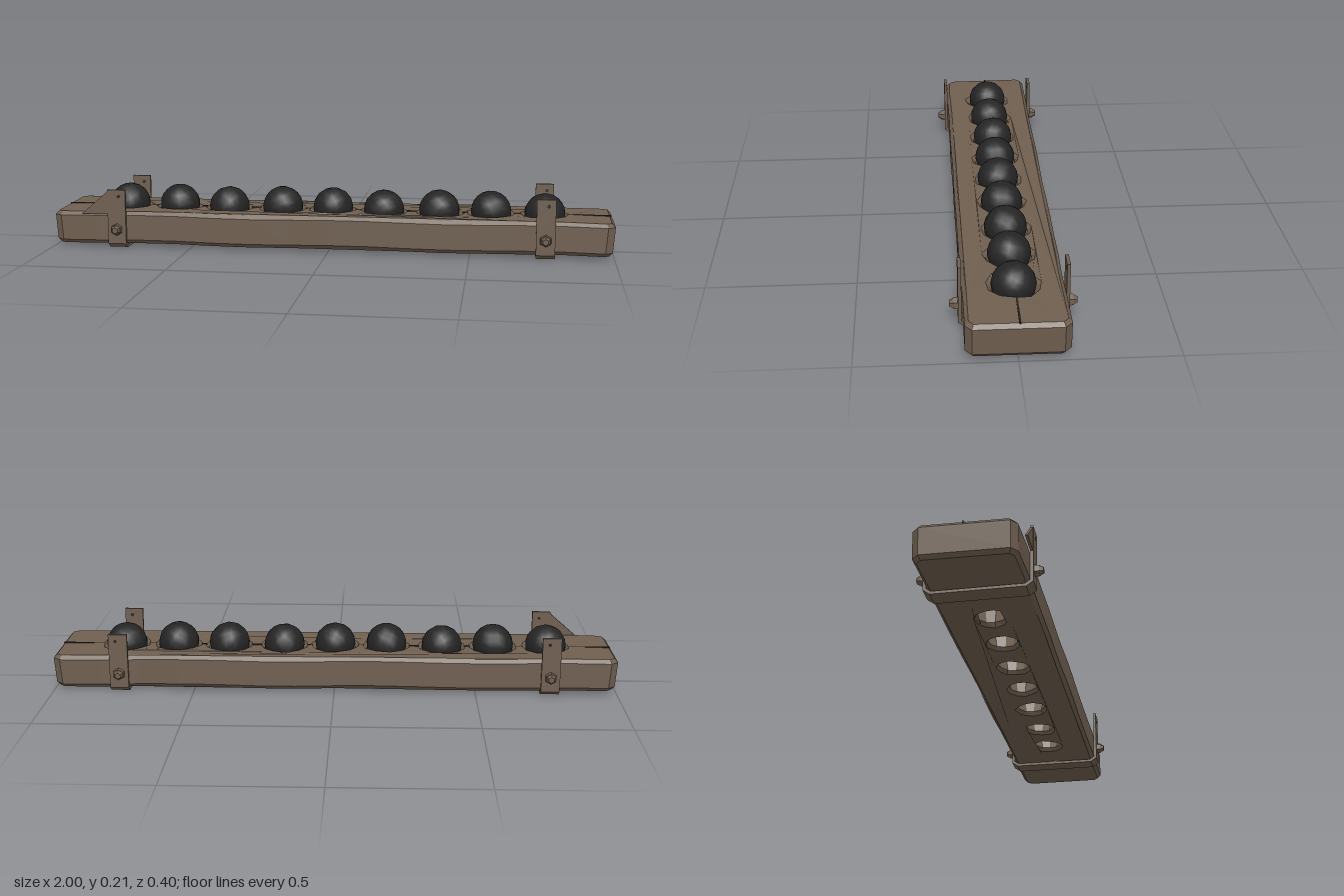
import * as THREE from 'three';

const brown = new THREE.MeshStandardMaterial({ name: 'weatheredBrown', color: 0x6f5f50, flatShading: true });
const black = new THREE.MeshStandardMaterial({ name: 'ironBlack', color: 0x242424 });
const dark = new THREE.MeshStandardMaterial({ name: 'crackDark', color: 0x2c2620 });

const BALLS = [-0.76, -0.57, -0.385, -0.185, 0, 0.185, 0.385, 0.57, 0.76];
const STRAP_X = 0.762;

// Small seeded random, -1 to 1
let seed = 7;
const rand = () => {
  seed = (seed * 16807) % 2147483647;
  return (seed / 2147483647) * 2 - 1;
};

function add(parent, geometry, material, name, x = 0, y = 0, z = 0) {
  const mesh = new THREE.Mesh(geometry, material);
  mesh.name = name;
  mesh.position.set(x, y, z);
  parent.add(mesh);
  return mesh;
}

// Worn plank: bevelled outline with a rough socket for each ball
function plankGeometry() {
  const pts = [];
  const side = 14;
  for (const s of [-1, 1]) {
    pts.push(new THREE.Vector2(s * 0.988, s * 0.135));
    for (let i = 0; i <= side; i++) {
      const x = s * (0.97 - (1.94 * i) / side);
      pts.push(new THREE.Vector2(x, s * (0.15 + 0.002 * rand())));
    }
    pts.push(new THREE.Vector2(-s * 0.988, s * 0.135));
  }
  const shape = new THREE.Shape(pts);
  for (const cx of BALLS) {
    const rim = [];
    for (let i = 0; i < 11; i++) {
      const a = (i / 11) * Math.PI * 2;
      const r = 0.087 + 0.004 * rand();
      rim.push(new THREE.Vector2(cx + r * Math.cos(a), r * Math.sin(a)));
    }
    shape.holes.push(new THREE.Path(rim));
  }
  const geo = new THREE.ExtrudeGeometry(shape, {
    depth: 0.09, bevelEnabled: true, bevelThickness: 0.013, bevelSize: 0.012, bevelSegments: 1,
  });
  geo.rotateX(-Math.PI / 2);
  geo.translate(0, 0.028, 0);

  const p = geo.attributes.position;
  for (let i = 0; i < p.count; i++) {
    let x = p.getX(i), y = p.getY(i), z = p.getZ(i);
    // Sockets narrow downwards; the end ones close under the straps
    const cx = BALLS.find((b) => Math.hypot(x - b, z) < 0.094);
    if (cx !== undefined && y < 0.06) {
      const k = Math.abs(cx) > 0.7 ? 0.32 : 0.68;
      x = cx + (x - cx) * k;
      z *= k;
    }
    // Gently uneven faces, with undercut ends
    y += 0.0025 * Math.sin(x * 9 + (z > 0 ? 1 : 3));
    if (Math.abs(x) > 0.95 && y < 0.06) x *= 0.993;
    p.setXYZ(i, x, y, z);
  }
  geo.computeVertexNormals();
  return geo;
}

// U-shaped strap profile, extruded along x
function strapGeometry(width) {
  const half = [[0.164, 0.214], [0.175, 0.214], [0.175, 0.018], [0.152, 0.002]];
  const inner = [[0.148, 0.012], [0.164, 0.024]];
  const v = (s) => ([z, y]) => new THREE.Vector2(s * z, y);
  const shape = new THREE.Shape([
    ...half.map(v(1)),
    ...half.slice().reverse().map(v(-1)),
    ...inner.slice().reverse().map(v(-1)),
    ...inner.map(v(1)),
  ]);
  const geo = new THREE.ExtrudeGeometry(shape, { depth: width, bevelEnabled: false });
  geo.translate(0, 0, -width / 2);
  return geo.rotateY(Math.PI / 2);
}

// Strap with a bolt and a nail hole on both sides
function makeStrap(name, x) {
  const strap = new THREE.Group();
  strap.name = name;
  strap.position.x = x;
  add(strap, strapGeometry(0.066), brown, 'strapBand');
  for (const s of [-1, 1]) {
    const head = new THREE.CylinderGeometry(0.02, 0.022, 0.014, 6).rotateX((s * Math.PI) / 2);
    add(strap, head, brown, 'boltHead', 0, 0.07, s * 0.182);
    const tip = new THREE.CylinderGeometry(0.011, 0.018, 0.013, 6).rotateX((s * Math.PI) / 2);
    add(strap, tip, brown, 'boltTip', 0, 0.07, s * 0.1955);
    for (const f of [0.1755, 0.1635]) {
      const hole = new THREE.CylinderGeometry(0.006, 0.006, 0.001, 8).rotateX(Math.PI / 2);
      add(strap, hole, dark, 'nailHole', 0.008, 0.19, s * f);
    }
  }
  return strap;
}

export function createModel() {
  const model = new THREE.Group();
  model.name = 'ballRack';

  add(model, plankGeometry(), brown, 'plank');

  // Balls, each turned a little differently
  BALLS.forEach((x, i) => {
    const ball = add(model, new THREE.SphereGeometry(0.073, 14, 10), black, 'ball' + (i + 1),
      x, 0.139 - (i % 3 === 2 ? 0.005 : 0), 0.002 * rand());
    ball.rotation.set(rand(), rand(), rand());
  });

  // Split along the top of the plank, between sockets and out to the ends
  const stops = [-1.075, ...BALLS, 1.075];
  for (let i = 0; i < stops.length - 1; i++) {
    const a = stops[i] + 0.083, b = stops[i + 1] - 0.083;
    add(model, new THREE.BoxGeometry(b - a, 0.005, 0.006), dark, 'crack', (a + b) / 2, 0.1305, -0.004);
  }

  model.add(makeStrap('leftStrap', STRAP_X), makeStrap('rightStrap', -STRAP_X));

  // Triangular brace on one strap tab
  const tri = new THREE.Shape([
    new THREE.Vector2(-0.89, 0.125), new THREE.Vector2(-0.79, 0.125), new THREE.Vector2(-0.79, 0.212),
  ]);
  add(model, new THREE.ExtrudeGeometry(tri, { depth: 0.009, bevelEnabled: false }), brown, 'brace', 0, 0, 0.165);

  return model;
}
